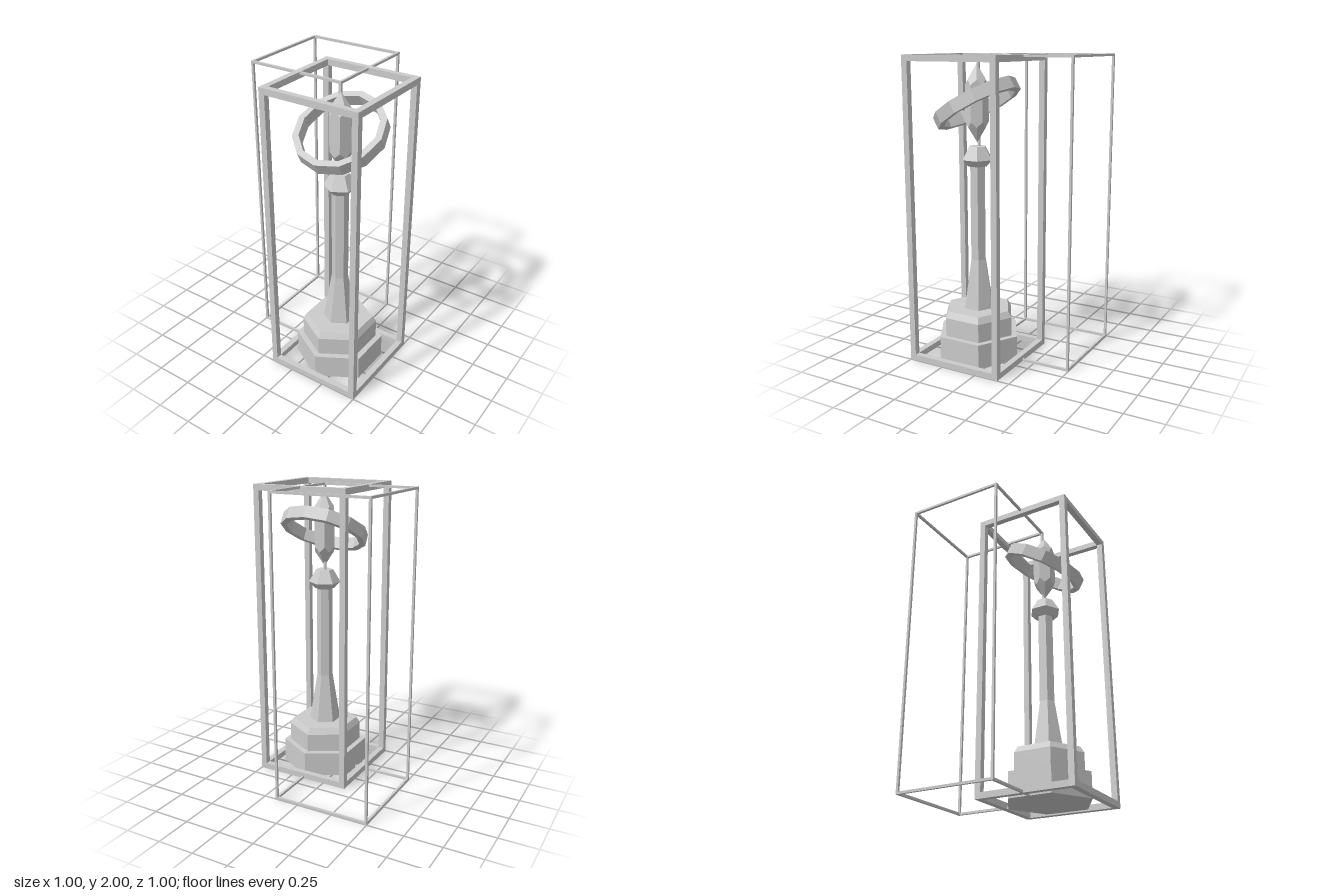
import * as THREE from 'three';
import { ConvexGeometry } from 'three/addons/geometries/ConvexGeometry.js';

const material = new THREE.MeshStandardMaterial({ color: 0xcccccc, flatShading: true });
const C = 1 / 6;      // offset of the cage and pillar axis
const SIDE = 2 / 3;   // cage width
const HEIGHT = 2;

function add(parent, name, geometry) {
  const mesh = new THREE.Mesh(geometry, material);
  mesh.name = name;
  parent.add(mesh);
  return mesh;
}

// Faceted solid of revolution from [radius, y] pairs, listed bottom to top
function faceted(profile, sides) {
  return new THREE.LatheGeometry(profile.map(([r, y]) => new THREE.Vector2(r, y)), sides);
}

// Open box cage made of twelve square bars
function cage(name, offset, t) {
  const group = new THREE.Group();
  group.name = name;
  group.position.set(offset, HEIGHT / 2, offset);
  const e = (SIDE - t) / 2;
  const h = (HEIGHT - t) / 2;
  for (const a of [-1, 1]) {
    for (const b of [-1, 1]) {
      add(group, 'post', new THREE.BoxGeometry(t, HEIGHT, t)).position.set(a * e, 0, b * e);
      add(group, 'railX', new THREE.BoxGeometry(SIDE - 2 * t, t, t)).position.set(0, a * h, b * e);
      add(group, 'railZ', new THREE.BoxGeometry(t, t, SIDE - 2 * t)).position.set(b * e, a * h, 0);
    }
  }
  return group;
}

// Hexagonal prism whose pointed ends are turned 30 degrees against its sides
function crystalGeometry() {
  const points = [new THREE.Vector3(0, 0.25, 0), new THREE.Vector3(0, -0.25, 0)];
  for (let i = 0; i < 12; i++) {
    const corner = i % 2 === 1;
    const r = corner ? 0.075 : 0.065;
    const y = corner ? 0.115 : 0.15;
    const a = (i * Math.PI) / 6;
    for (const s of [-1, 1]) points.push(new THREE.Vector3(r * Math.sin(a), s * y, r * Math.cos(a)));
  }
  return new ConvexGeometry(points);
}

export function createModel() {
  const model = new THREE.Group();
  model.name = 'cagedPillar';

  // Two overlapping cages, one heavy and one thin
  model.add(cage('heavyCage', C, 0.04), cage('thinCage', -C, 0.0155));

  const pillar = new THREE.Group();
  pillar.name = 'pillar';
  pillar.position.set(C, 0, C);
  model.add(pillar);

  // Stepped hexagonal base
  add(pillar, 'plinth', faceted([[0, 0], [0.292, 0], [0.292, 0.167], [0, 0.167]], 6));
  add(pillar, 'upperPlinth', faceted([[0, 0.167], [0.25, 0.167], [0.25, 0.292], [0.225, 0.333], [0, 0.333]], 6));

  // Flared shaft and its capital
  add(pillar, 'shaft', faceted([[0.107, 0.333], [0.054, 0.667], [0.054, 1.292]], 6));
  add(pillar, 'capital', faceted([[0, 1.292], [0.068, 1.292], [0.107, 1.335], [0.058, 1.42], [0, 1.42]], 6));

  // Floating crystal
  add(pillar, 'crystal', crystalGeometry()).position.y = 1.694;

  // Tilted twelve-sided ring around the crystal
  const ring = add(pillar, 'ring', faceted(
    [[0.25, -0.04], [0.292, -0.04], [0.292, 0.04], [0.25, 0.04], [0.25, -0.04]], 12));
  ring.position.y = 1.692;
  ring.rotation.x = Math.PI / 6;

  return model;
}
